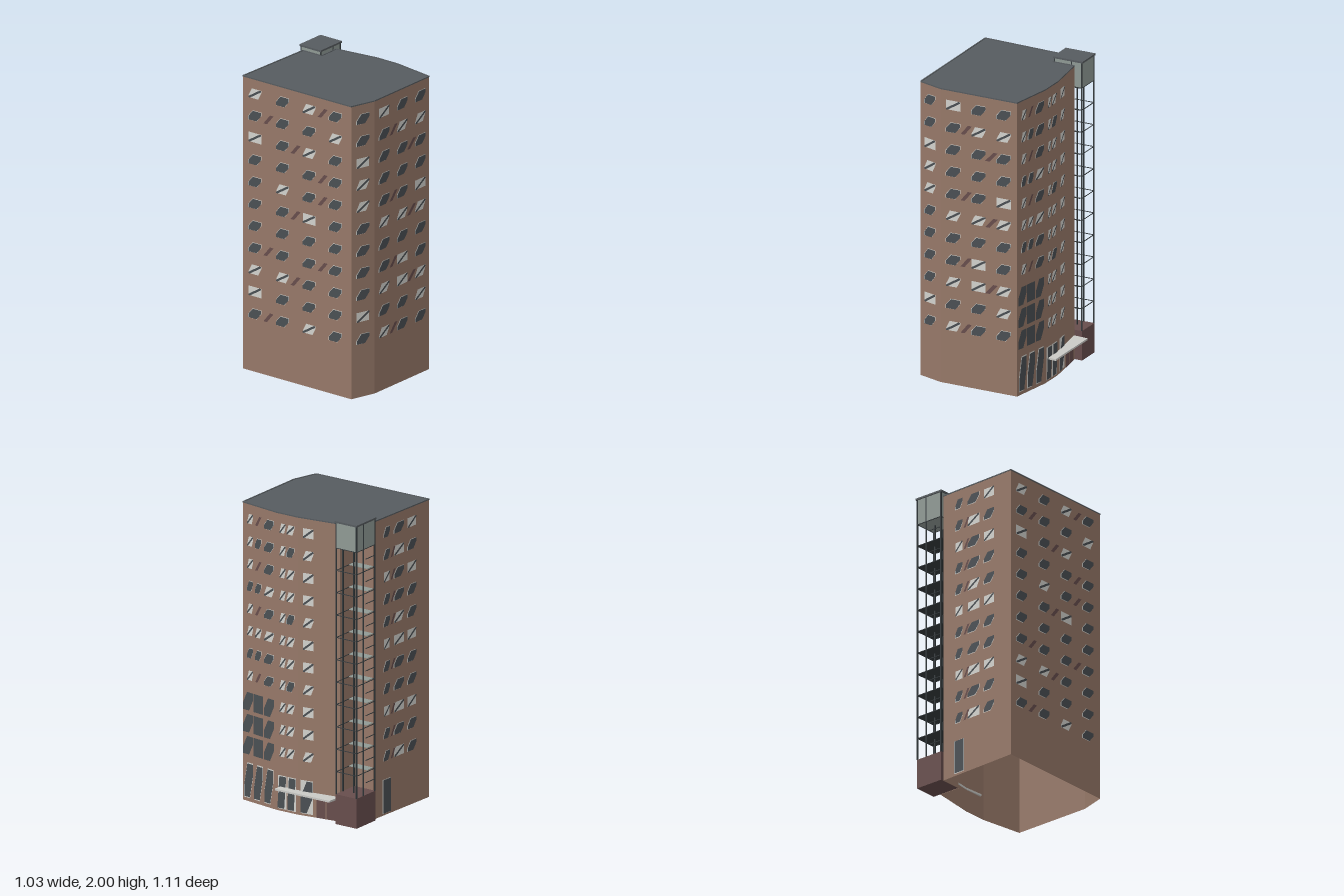
import * as THREE from 'three';

const mat = (name, color, side = THREE.FrontSide) => {
  const m = new THREE.MeshStandardMaterial({ color, side });
  m.name = name;
  return m;
};

// Plan outline (x, z), counter-clockwise seen from above, starting at the front corner
const PLAN = [[-0.165, 0.55], [0.01, 0.53], [0.51, 0.315], [0.435, 0.03], [0.37, -0.12],
  [0.215, -0.375], [0.08, -0.315], [0.02, -0.45], [-0.515, -0.24]];
const WALL_TOP = 1.963, ROW_TOP = 1.865, ROW_STEP = 0.1475;

// Window columns: wall index, position along the wall, width, and one letter per floor
// from the top: D dark pane, L light pane, R light full pane, P red-brown panel, . none
const COLUMNS = [
  // front
  [0, 0.49, 0.095, 'DDRLLDDDDRD'],
  [1, 0.17, 0.1, 'RDDDDLDDLDL'],
  [1, 0.34, 0.08, '.P..P..P..P'],
  [1, 0.5, 0.1, 'DLDDDLDRRDD'],
  [1, 0.67, 0.09, '..P..P..P..'],
  [1, 0.83, 0.1, 'DLDDRLDDLLD'],
  // right side
  [2, 0.23, 0.05, 'LLLDLLDL...'],
  [2, 0.47, 0.055, 'PDPDPLDP...'],
  [2, 0.79, 0.085, 'DDDLDLDD...'],
  [3, 0.3, 0.045, 'LLLLLLLLLLL'],
  [3, 0.67, 0.06, 'LDLLDLLDLLL'],
  [4, 0.255, 0.075, 'RLRRLRRLRRL'],
  // back
  [7, 0.24, 0.06, 'DDRDDRDDRDD'],
  [7, 0.35, 0.05, '.PPPP.P.PPP'],
  [7, 0.455, 0.1, 'DRDDLRDDRDR'],
  [7, 0.685, 0.085, 'RDRDDRDDRDD'],
  // left side
  [8, 0.115, 0.1, 'LDRDDDDDLRD'],
  [8, 0.24, 0.08, '.P.....P..P'],
  [8, 0.37, 0.1, 'DDDDLDDDLDD'],
  [8, 0.49, 0.08, '..P..P..P..'],
  [8, 0.615, 0.1, 'LDLDDRDDDDL'],
  [8, 0.74, 0.08, 'P..PP..P...'],
  [8, 0.857, 0.1, 'DLDDDDDDDDD'],
];

const polygon = pts => new THREE.ShapeGeometry(new THREE.Shape(pts.map(p => new THREE.Vector2(...p))));
const lozenge = (w, h, k = 0.15) => polygon([[-w / 2, -h / 2], [k * w, -h / 2], [w / 2, k * h],
  [w / 2, h / 2], [-k * w, h / 2], [-w / 2, -k * h]]);
const slanted = (w, h) => polygon([[-w / 2, -h / 2], [-w * 0.15, -h / 2], [w / 2, h / 2], [w * 0.15, h / 2]]);
const stripe = (w, h) => polygon([[-w / 2, -h / 2], [-w * 0.38, -h / 2], [w / 2, h * 0.36],
  [w / 2, h / 2], [w * 0.38, h / 2], [-w / 2, -h * 0.36]]);

export function createModel() {
  const brick = mat('brick', 0x967868, THREE.DoubleSide);
  const slate = mat('slate', 0x565b5f);
  const darkGlass = mat('dark glass', 0x4a4f53);
  const lightFrame = mat('light frame', 0xd2d2cd);
  const redBrown = mat('red brown', 0x674d4c);
  const steel = mat('dark steel', 0x33393c);
  const towerGlass = mat('tower glass', 0x8f9994, THREE.DoubleSide);
  const canopyGrey = mat('canopy grey', 0xcacac6);

  const model = new THREE.Group();
  model.name = 'towerBlock';
  const add = (parent, name, geo, material, x = 0, y = 0, z = 0) => {
    const m = new THREE.Mesh(geo, material);
    m.name = name;
    m.position.set(x, y, z);
    parent.add(m);
    return m;
  };

  // Walls: one group per side, local x along the wall and local z outwards
  const walls = PLAN.map(([ax, az], i) => {
    const [bx, bz] = PLAN[(i + 1) % PLAN.length];
    const g = new THREE.Group();
    g.name = 'wall' + (i + 1);
    g.position.set(ax, 0, az);
    g.rotation.y = Math.atan2(az - bz, bx - ax);
    const len = Math.hypot(bx - ax, bz - az);
    add(g, 'brickwork', new THREE.PlaneGeometry(len, WALL_TOP), brick, len / 2, WALL_TOP / 2);
    add(g, 'coping', new THREE.BoxGeometry(len, 0.008, 0.008), slate, len / 2, WALL_TOP, -0.002);
    model.add(g);
    return { g, len };
  });

  // Roof
  const roof = polygon(PLAN.map(([x, z]) => [x, -z])).rotateX(-Math.PI / 2);
  add(model, 'roof', roof, slate, 0, WALL_TOP, 0);

  // One window or panel on a wall
  const pane = (wall, t, y, w, h, kind) => {
    const { g, len } = walls[wall], x = t * len;
    if (kind === 'D') {
      add(g, 'windowFrame', lozenge(w * 1.05, h * 1.06), lightFrame, x - 0.002, y, 0.003);
      add(g, 'windowGlass', lozenge(w, h), darkGlass, x, y, 0.006);
    } else if (kind === 'P') {
      add(g, 'windowPanel', slanted(w, h), redBrown, x, y, 0.004);
    } else {
      const back = kind === 'R' ? new THREE.PlaneGeometry(w, h) : lozenge(w, h, 0.25);
      add(g, 'windowFrame', back, lightFrame, x, y, 0.003);
      add(g, 'windowBar', stripe(w, h), darkGlass, x, y, 0.006);
    }
  };
  for (const [wall, t, w, kinds] of COLUMNS) {
    [...kinds].forEach((kind, row) => {
      if (kind !== '.') pane(wall, t, ROW_TOP - row * ROW_STEP, w, 0.064, kind);
    });
  }

  // Large windows on the lower floors of the right side
  for (let row = 0; row < 3; row++) {
    const y = 0.37 + row * 0.145;
    [0.17, 0.47, 0.79].forEach((t, i) => {
      const { g, len } = walls[2];
      const geo = i === 1 ? new THREE.PlaneGeometry(0.085, 0.12) : lozenge(0.085, 0.12, 0.1);
      add(g, 'largeWindow', geo, darkGlass, t * len, y, 0.005);
    });
  }

  // Ground floor shopfront, entrance and back door
  for (const t of [0.19, 0.48, 0.79]) pane(2, t, 0.14, 0.075, 0.22, 'D');
  for (const [wall, t, w] of [[3, 0.27, 0.065], [3, 0.72, 0.065], [4, 0.22, 0.09]]) {
    const { g, len } = walls[wall];
    add(g, 'shopFrame', new THREE.PlaneGeometry(w, 0.22), lightFrame, t * len, 0.125, 0.003);
    add(g, 'shopGlass', lozenge(w * 0.95, 0.21, wall === 3 ? 0.3 : 0), darkGlass, t * len, 0.125, 0.006);
  }
  const entrance = walls[4];
  for (const t of [0.56, 0.8]) {
    add(entrance.g, 'entranceDoor', new THREE.PlaneGeometry(0.065, 0.145), redBrown, t * entrance.len, 0.075, 0.004);
  }
  const back = walls[7];
  add(back.g, 'backDoorFrame', new THREE.PlaneGeometry(0.085, 0.225), lightFrame, 0.24 * back.len, 0.125, 0.003);
  add(back.g, 'backDoor', new THREE.PlaneGeometry(0.078, 0.22), darkGlass, 0.24 * back.len, 0.125, 0.006);

  // Entrance canopy
  const canopy = new THREE.Shape([[0.215, 0.37], [0.31, 0.405], [0.478, 0.02], [0.41, -0.005], [0.365, 0.12]]
    .map(p => new THREE.Vector2(...p)));
  add(model, 'canopy', new THREE.ExtrudeGeometry(canopy, { depth: 0.012, bevelEnabled: false })
    .rotateX(-Math.PI / 2), canopyGrey, 0, 0.15, 0);

  // Stair tower in the notch at the back corner
  const tower = new THREE.Group();
  tower.name = 'stairTower';
  tower.position.set(0.138, 0, -0.434);
  tower.rotation.y = 0.41;
  model.add(tower);
  const W = 0.2, D = 0.162;
  const box = (name, w, h, d, m, x, y, z) => add(tower, name, new THREE.BoxGeometry(w, h, d), m, x, y, z);
  box('towerBase', W, 0.197, D, redBrown, 0, 0.0985, 0);
  box('towerRoof', 0.212, 0.012, 0.172, slate, 0, 1.994, 0);
  box('towerGlazing', W - 0.006, 0.168, D - 0.006, towerGlass, 0, 1.904, 0);
  for (const x of [-1, 0.25, 1]) {
    for (const z of [-1, 1]) {
      box('towerPost', 0.007, 1.79, 0.007, steel, x * (W / 2 - 0.003), 1.092, z * (D / 2 - 0.003));
    }
  }
  box('stairPole', 0.007, 1.62, 0.007, steel, 0.02, 1.01, 0);

  // Landings with rails on every floor
  for (let i = 0; i < 11; i++) {
    const y = 0.345 + i * ROW_STEP;
    add(tower, 'landingUnderside', new THREE.PlaneGeometry(W - 0.01, D - 0.01).rotateX(Math.PI / 2), steel, 0, y, 0);
    box('landing', 0.06, 0.004, D - 0.02, towerGlass, -0.06, y + 0.004, 0);
    for (const s of [-1, 1]) {
      box('railAlong', W, 0.004, 0.004, steel, 0, y, s * (D / 2 - 0.003));
      box('railAcross', 0.004, 0.004, D, steel, s * (W / 2 - 0.003), y, 0);
    }
    box('handrail', W / 2, 0.004, 0.004, steel, -W / 4, y - 0.07, -D / 2 + 0.003);
  }
  return model;
}
